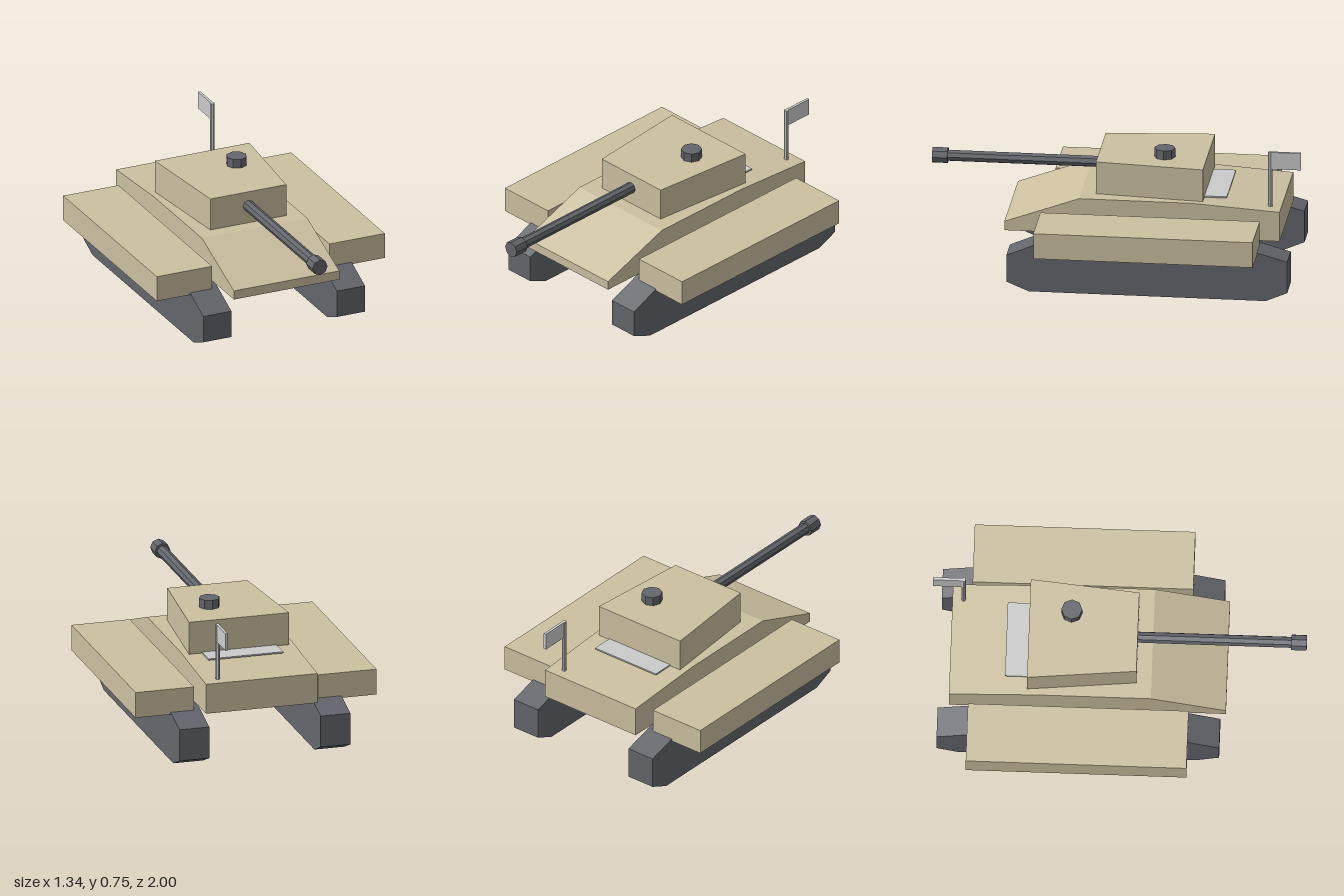
import * as THREE from 'three';

const material = (color) => new THREE.MeshStandardMaterial({ color, flatShading: true });

export function createModel() {
  const tank = new THREE.Group();
  const tan = material(0xccc0a0);
  const dark = material(0x64666d);
  const grey = material(0xcccccc);

  function add(name, geometry, mat, x = 0, y = 0, z = 0) {
    const mesh = new THREE.Mesh(geometry, mat);
    mesh.name = name;
    mesh.position.set(x, y, z);
    tank.add(mesh);
    return mesh;
  }

  // Side profile of [z, y] points, extruded across x and centred on x = 0
  function sideProfile(points, width) {
    const shape = new THREE.Shape(points.map(([z, y]) => new THREE.Vector2(z, y)));
    return new THREE.ExtrudeGeometry(shape, { depth: width, bevelEnabled: false })
      .translate(0, 0, -width / 2)
      .rotateY(-Math.PI / 2);
  }

  // Hull with sloped nose and gently falling rear deck
  add('hull', sideProfile([
    [0.58, 0.28], [0.58, 0.33], [0.18, 0.476], [-0.42, 0.476], [-0.895, 0.445], [-0.895, 0.28],
  ], 0.62), tan);

  // Tracks and the fenders above them
  const track = sideProfile([
    [0.43, 0], [0.55, 0.05], [0.55, 0.2], [0.36, 0.28],
    [-0.76, 0.28], [-0.955, 0.225], [-0.955, 0.05], [-0.84, 0],
  ], 0.165);
  const fender = new THREE.BoxGeometry(0.325, 0.142, 1.175);
  for (const [side, s] of [['left', 1], ['right', -1]]) {
    add(side + 'Track', track, dark, s * 0.3925);
    add(side + 'Fender', fender, tan, s * 0.5075, 0.33, -0.205);
  }

  // Turret, narrower at the front
  const turret = new THREE.BoxGeometry(0.556, 0.18, 0.58);
  const p = turret.attributes.position;
  for (let i = 0; i < p.count; i++) {
    if (p.getZ(i) > 0) p.setX(i, Math.sign(p.getX(i)) * 0.223);
  }
  add('turret', turret, tan, 0, 0.566, -0.19);
  add('hatch', new THREE.CylinderGeometry(0.056, 0.056, 0.05, 8), dark, 0.097, 0.681, -0.255);

  // Gun
  const rod = (radius, length) =>
    new THREE.CylinderGeometry(radius, radius, length, 8).rotateX(Math.PI / 2);
  add('barrel', rod(0.031, 0.84), dark, 0, 0.576, 0.5);
  add('muzzle', rod(0.044, 0.082), dark, 0, 0.576, 0.959);

  // Rear deck plate
  add('deckPlate', new THREE.BoxGeometry(0.415, 0.008, 0.17), grey, -0.002, 0.478, -0.515);

  // Flag on its pole
  add('flagPole', new THREE.CylinderGeometry(0.012, 0.012, 0.31, 8), grey, 0.227, 0.6, -0.836);
  add('flag', new THREE.BoxGeometry(0.015, 0.095, 0.172), grey, 0.227, 0.7075, -0.914);

  return tank;
}
